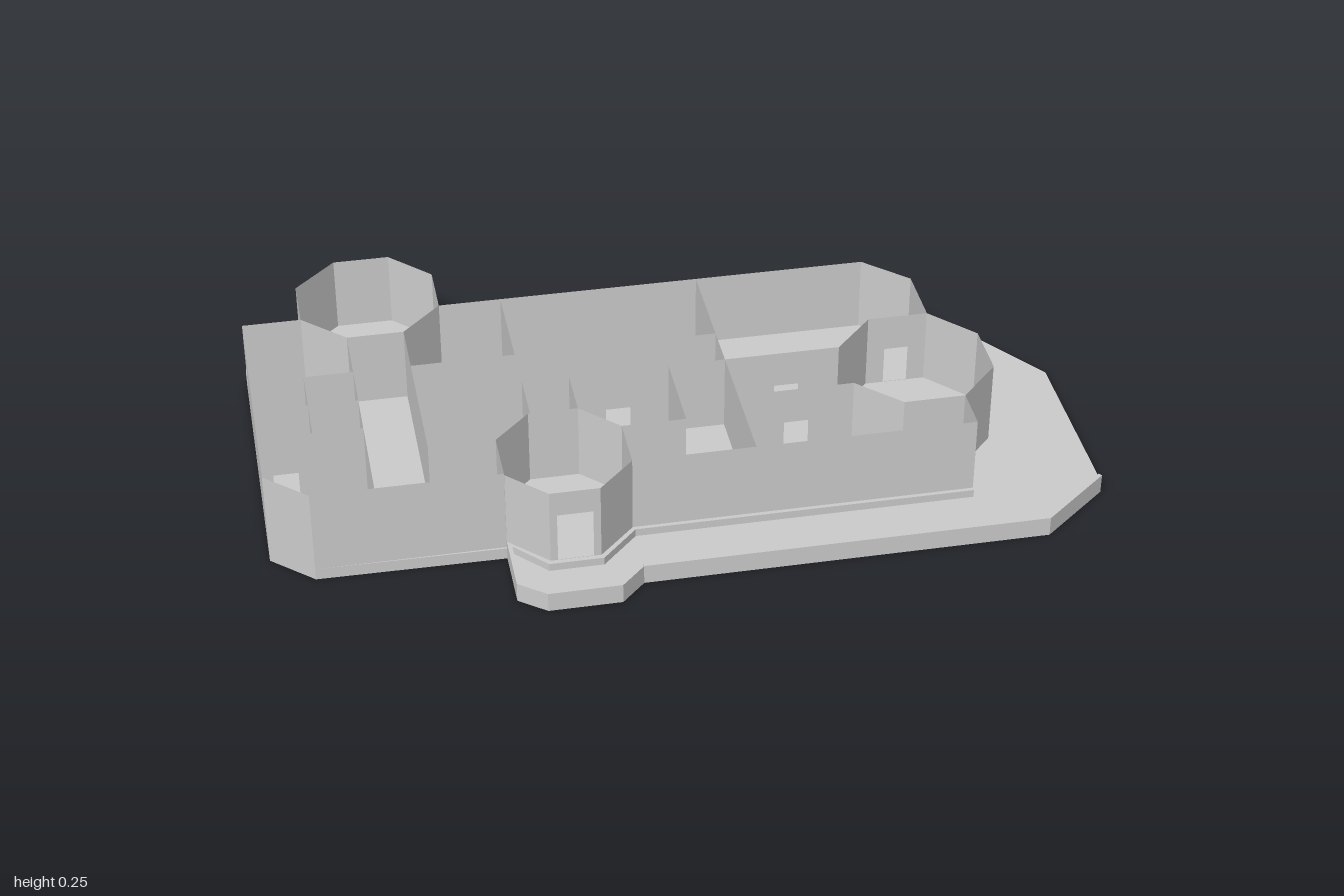
import * as THREE from 'three';

const FLOOR = 0.05, TOP = 0.245, PORCH = 0.03;
const material = new THREE.MeshStandardMaterial({ color: 0xcccccc, flatShading: true, side: THREE.DoubleSide });

// Footprints as [x, z] corners
const backTower = [[-0.51, -0.35], [-0.51, -0.495], [-0.61, -0.597], [-0.75, -0.597],
  [-0.855, -0.495], [-0.855, -0.35], [-0.75, -0.25], [-0.61, -0.25]];
const frontTower = [[-0.45, 0.38], [-0.36, 0.47], [-0.24, 0.47], [-0.15, 0.38],
  [-0.15, 0.24], [-0.24, 0.15], [-0.36, 0.15], [-0.45, 0.24]];
const bay = [[0.43, 0.015], [0.53, -0.09], [0.68, -0.09], [0.78, 0.02],
  [0.78, 0.165], [0.68, 0.27], [0.53, 0.27], [0.43, 0.17]];
const eastSide = [[0.68, 0.38], [0.68, 0.27], [0.78, 0.165], [0.78, 0.02], [0.68, -0.09], [0.68, -0.25], [0.575, -0.35]];
const westSide = [[-0.855, -0.35], [-1, -0.35], [-1, 0.285], [-0.9, 0.375], [-0.45, 0.375]];
const foundation = [...backTower.slice(0, 6), ...westSide.slice(1, 4), [-0.45, 0.375], [-0.45, 0.39],
  [-0.365, 0.482], [-0.235, 0.482], [-0.145, 0.39], [0.68, 0.39], ...eastSide];
const porchEdge = [[-0.45, 0.38], [-0.45, 0.54], [-0.385, 0.59], [-0.21, 0.59], [-0.15, 0.53],
  [0.83, 0.53], [1, 0.39]];
const terraceArc = [];
for (let i = 0; i <= 6; i++) {
  const a = i / 6 * Math.PI / 2;
  terraceArc.push([-0.94 - 0.06 * Math.sin(a), -0.435 - 0.06 * Math.cos(a)]);
}
const terraceEdge = [[-0.855, -0.495], ...terraceArc, [-1, -0.35]];
const base = [[-0.51, -0.35], [-0.51, -0.495], [-0.61, -0.597], [-0.75, -0.597], ...terraceEdge,
  [-1, 0.285], [-0.9, 0.375], ...porchEdge, [1, -0.08], [0.88, -0.25], [0.68, -0.25], [0.575, -0.35]];

function add(group, name, geometry) {
  const mesh = new THREE.Mesh(geometry, material);
  mesh.name = name;
  group.add(mesh);
  return mesh;
}

// Horizontal slab between two heights
function slab(group, name, points, y0, y1) {
  const shape = new THREE.Shape(points.map(([x, z]) => new THREE.Vector2(x, -z)));
  const g = new THREE.ExtrudeGeometry(shape, { depth: y1 - y0, bevelEnabled: false });
  g.rotateX(-Math.PI / 2).translate(0, y0, 0);
  add(group, name, g);
}

// Thin upright wall; each door is [centre along wall, width, top]
function wall(group, name, [x0, z0], [x1, z1], doors = []) {
  const length = Math.hypot(x1 - x0, z1 - z0);
  const shape = new THREE.Shape();
  shape.moveTo(0, FLOOR).lineTo(length, FLOOR).lineTo(length, TOP).lineTo(0, TOP).closePath();
  for (const [c, w, h] of doors) {
    const hole = new THREE.Path();
    hole.moveTo(c - w / 2, FLOOR + 0.001).lineTo(c - w / 2, h).lineTo(c + w / 2, h)
      .lineTo(c + w / 2, FLOOR + 0.001).closePath();
    shape.holes.push(hole);
  }
  const g = new THREE.ShapeGeometry(shape);
  g.rotateY(Math.atan2(z0 - z1, x1 - x0)).translate(x0, 0, z0);
  add(group, name, g);
}

// Chain of walls; doors are keyed by segment number
function walls(group, name, points, doors = {}, closed = false) {
  const n = points.length - (closed ? 0 : 1);
  for (let i = 0; i < n; i++) wall(group, name, points[i], points[(i + 1) % points.length], doors[i]);
}

// Low kerb along an open edge
function kerb(group, name, points) {
  const w = 0.01;
  for (let i = 0; i + 1 < points.length; i++) {
    const [x0, z0] = points[i], [x1, z1] = points[i + 1];
    const length = Math.hypot(x1 - x0, z1 - z0);
    const g = new THREE.BoxGeometry(length, FLOOR - PORCH, w);
    // shifted inward so the outer face lies on the slab edge
    g.translate(length / 2, (FLOOR + PORCH) / 2, -w / 2);
    g.rotateY(Math.atan2(z0 - z1, x1 - x0)).translate(x0, 0, z0);
    add(group, name, g);
  }
}

export function createModel() {
  const model = new THREE.Group();
  model.name = 'buildingFloorPlan';

  // Ground slab, raised house floor and kerbs
  slab(model, 'baseSlab', base, 0, PORCH);
  slab(model, 'houseFloor', foundation, PORCH, FLOOR);
  kerb(model, 'porchKerb', porchEdge);
  kerb(model, 'terraceKerb', terraceEdge);

  // Outer walls
  const outer = new THREE.Group();
  outer.name = 'outerWalls';
  model.add(outer);
  wall(outer, 'backWall', [-0.51, -0.35], [0.575, -0.35]);
  wall(outer, 'backCornerWall', [0.575, -0.35], [0.68, -0.25]);
  wall(outer, 'eastWall', [0.68, -0.25], [0.68, -0.09], [[0.09, 0.06, 0.15]]);
  walls(outer, 'westWall', westSide);
  walls(outer, 'frontWall', [[-0.15, 0.38], [0.68, 0.38], [0.68, 0.27]]);

  // Towers and bay
  walls(model, 'backTower', backTower, {}, true);
  walls(model, 'frontTower', frontTower, { 1: [[0.06, 0.085, 0.18]], 7: [[0.07, 0.06, 0.15]] }, true);
  walls(model, 'eastBay', bay, { 1: [[0.075, 0.06, 0.15]], 5: [[0.075, 0.06, 0.15]] });

  // Room partitions: x0, z0, x1, z1, optional door centre along the wall
  const rooms = new THREE.Group();
  rooms.name = 'partitions';
  model.add(rooms);
  const partitions = [
    [-0.75, -0.25, -0.75, 0.375], [-0.61, -0.25, -0.61, 0.24],
    [-0.61, -0.1, 0.145, -0.1, 0.67], [-0.61, 0.015, 0.145, 0.015, 0.49],
    [0.145, 0.015, 0.43, 0.015, 0.155], [0.145, 0.17, 0.43, 0.17, 0.145],
    [-0.355, -0.35, -0.355, -0.1], [0.145, -0.35, 0.145, 0.015], [0.145, 0.015, 0.145, 0.38],
    [-0.61, 0.24, -0.45, 0.24], [-0.355, 0.015, -0.355, 0.15], [-0.24, 0.015, -0.24, 0.15],
    [0.005, 0.015, 0.005, 0.24], [-0.15, 0.24, 0.005, 0.24],
    [-1, -0.1, -0.75, -0.1], [-1, 0.02, -0.75, 0.02], [-1, 0.135, -0.75, 0.135, 0.06],
    [-0.87, -0.1, -0.87, 0.135],
  ];
  for (const [x0, z0, x1, z1, door] of partitions) {
    wall(rooms, 'partition', [x0, z0], [x1, z1], door ? [[door, 0.06, 0.15]] : []);
  }
  return model;
}
